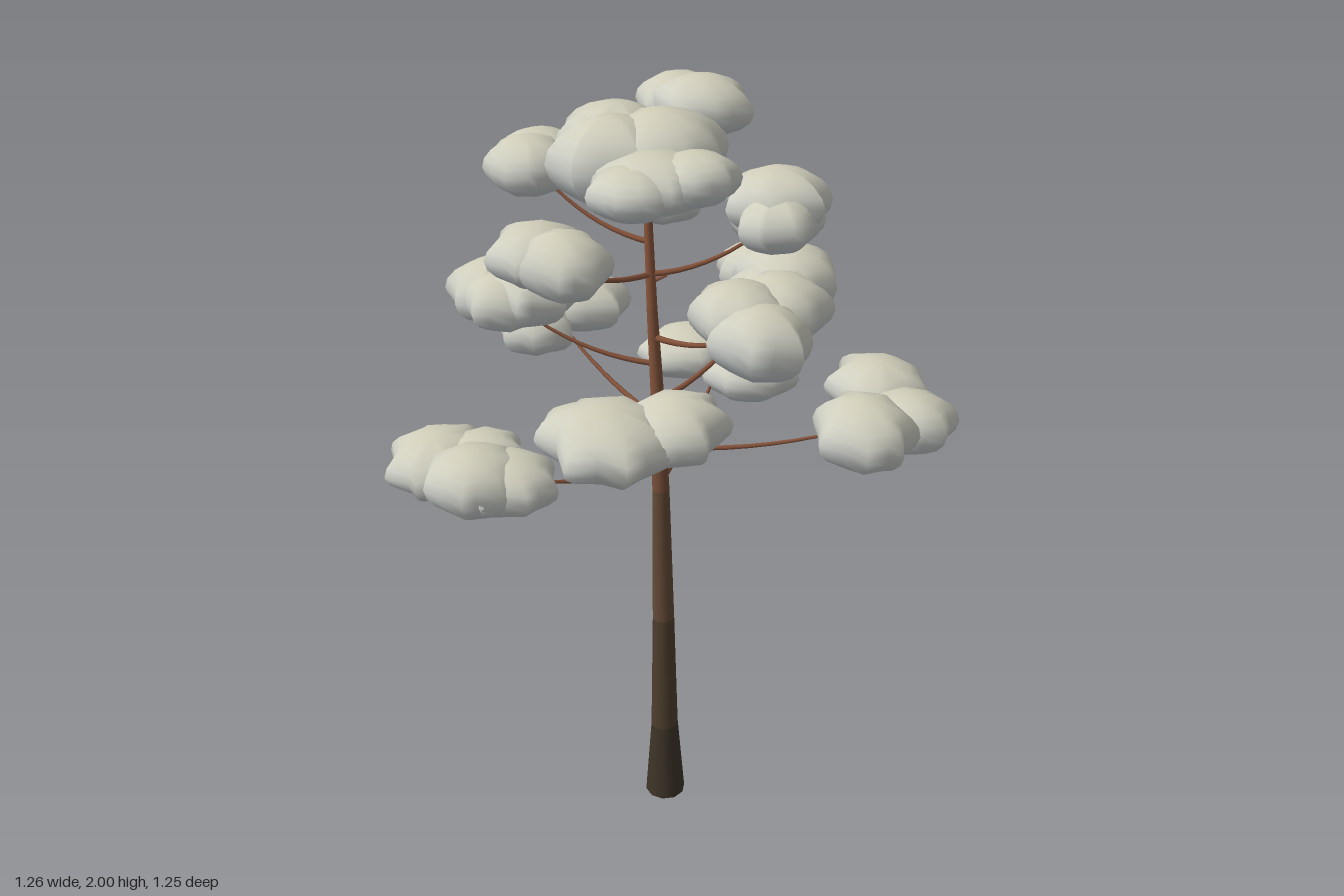
import * as THREE from 'three';

// Each pad: branch start height, then leaf clumps [x, y, z, radius, half height]
const lowerPads = [
  [1.06, [-0.26, 1.17, 0.48, 0.12, 0.075], [-0.10, 1.19, 0.50, 0.12, 0.08], [-0.05, 1.18, 0.44, 0.11, 0.07], [-0.18, 1.18, 0.42, 0.11, 0.065]],
  [1.02, [-0.30, 1.14, -0.43, 0.12, 0.07], [-0.23, 1.16, -0.52, 0.10, 0.075], [-0.12, 1.11, -0.48, 0.12, 0.07]],
  [1.12, [0.35, 1.25, -0.43, 0.12, 0.075], [0.49, 1.27, -0.19, 0.12, 0.085], [0.51, 1.25, -0.34, 0.11, 0.075]],
  [1.20, [-0.42, 1.34, -0.15, 0.12, 0.075], [-0.50, 1.32, -0.09, 0.11, 0.08], [-0.45, 1.31, -0.01, 0.11, 0.075]],
  [1.24, [0.22, 1.37, 0.38, 0.14, 0.08], [0.30, 1.38, 0.25, 0.11, 0.075], [0.16, 1.37, 0.40, 0.10, 0.065]],
];
const middlePads = [
  [1.25, [0.05, 1.46, -0.43, 0.13, 0.085], [0.07, 1.44, -0.37, 0.12, 0.07], [-0.06, 1.45, -0.44, 0.10, 0.075]],
  [1.42, [0.32, 1.57, -0.07, 0.11, 0.08], [0.38, 1.55, 0.06, 0.11, 0.085], [0.29, 1.58, 0.04, 0.11, 0.075]],
  [1.35, [-0.35, 1.50, 0.20, 0.11, 0.08], [-0.26, 1.51, 0.18, 0.11, 0.075], [-0.29, 1.50, 0.23, 0.10, 0.07]],
  [1.48, [-0.35, 1.64, -0.26, 0.11, 0.065], [-0.24, 1.65, -0.25, 0.11, 0.065], [-0.31, 1.61, -0.30, 0.10, 0.06]],
  [1.58, [-0.09, 1.69, 0.29, 0.11, 0.07], [0.02, 1.70, 0.31, 0.10, 0.075]],
  [1.58, [0.16, 1.74, -0.24, 0.12, 0.08], [0.20, 1.71, -0.19, 0.10, 0.07]],
];
const upperPads = [
  [1.66, [-0.32, 1.80, 0.06, 0.11, 0.075], [-0.29, 1.81, 0.13, 0.10, 0.07]],
  [1.74, [0.13, 1.87, 0.13, 0.12, 0.065], [0.19, 1.88, 0.08, 0.10, 0.06], [0.12, 1.86, 0.20, 0.10, 0.06]],
  [1.76, [-0.05, 1.93, -0.21, 0.11, 0.07], [-0.14, 1.92, -0.22, 0.10, 0.065]],
  [1.74, [-0.13, 1.87, 0.00, 0.13, 0.095], [0.01, 1.87, -0.01, 0.14, 0.105], [-0.06, 1.86, 0.08, 0.13, 0.105]],
];

// Trunk centreline sections [x, y, z, radius]
const trunkSections = [
  [0.01, 0, -0.02, 0.055], [0.012, 0.24, -0.015, 0.037], [0.012, 0.6, -0.01, 0.029],
  [0.012, 1.0, 0, 0.022], [0.005, 1.25, 0.004, 0.017], [-0.01, 1.5, 0.008, 0.013], [-0.025, 1.82, 0.01, 0.009],
];

const material = (color) => new THREE.MeshStandardMaterial({ color });
const branchMaterial = material(0x84523a);
const barkColors = [0x3e3528, 0x4e3f2e, 0x644a37, 0x774f39, 0x83543b, 0x8a563c];
// Foliage turns from warm on top to cool grey underneath, one material per ring
const leafRings = 10;
const leafMaterials = Array.from({ length: leafRings }, (_, i) =>
  material(new THREE.Color(0xd0cdb8).lerp(new THREE.Color(0xccd8e6), (i / (leafRings - 1)) ** 1.5)));

// Seeded values in 0..1
let seed = 7;
const random = () => (seed = (seed * 16807) % 2147483647) / 2147483647;

function trunkPoint(y) {
  let i = 0;
  while (i < trunkSections.length - 2 && trunkSections[i + 1][1] < y) i++;
  const a = new THREE.Vector3(...trunkSections[i]);
  const b = new THREE.Vector3(...trunkSections[i + 1]);
  return a.lerp(b, (y - a.y) / (b.y - a.y));
}

// Rounded clump whose rim is drawn out into uneven points
function leafClump([x, y, z, radius, height]) {
  const columns = 14;
  const geometry = new THREE.SphereGeometry(1, columns, leafRings);
  const reach = [], angle = [];
  for (let c = 0; c < columns; c++) {
    reach.push(c % 2 ? 0.84 + random() * 0.12 : 1.02 + random() * 0.18);
    angle.push(((c + (random() - 0.5) * 0.7) / columns) * Math.PI * 2);
  }
  const p = geometry.attributes.position;
  for (let i = 0; i < p.count; i++) {
    const c = (i % (columns + 1)) % columns;
    const ring = Math.sqrt(Math.max(0, 1 - p.getY(i) ** 2));
    const r = ring * radius * (1 + (reach[c] - 1) * ring ** 2);
    p.setXYZ(i, -Math.cos(angle[c]) * r, p.getY(i) * height, Math.sin(angle[c]) * r);
  }
  geometry.computeVertexNormals();
  // Match the normals along the seam and at the poles
  const n = geometry.attributes.normal;
  for (let row = 0; row <= leafRings; row++) {
    const a = row * (columns + 1), b = a + columns;
    const v = new THREE.Vector3().fromBufferAttribute(n, a)
      .add(new THREE.Vector3().fromBufferAttribute(n, b)).normalize();
    n.setXYZ(a, v.x, v.y, v.z);
    n.setXYZ(b, v.x, v.y, v.z);
  }
  for (let c = 0; c <= columns; c++) {
    n.setXYZ(c, 0, 1, 0);
    n.setXYZ(n.count - 1 - c, 0, -1, 0);
  }
  // The two polar rings hold half as many triangles as the others
  let first = 0;
  for (let row = 0; row < leafRings; row++) {
    const count = columns * (row === 0 || row === leafRings - 1 ? 3 : 6);
    geometry.addGroup(first, count, row);
    first += count;
  }
  const mesh = new THREE.Mesh(geometry, leafMaterials);
  mesh.name = 'leafClump';
  mesh.position.set(x, y, z);
  mesh.rotation.set((random() - 0.5) * 0.2, random() * Math.PI * 2, (random() - 0.5) * 0.2);
  return mesh;
}

// Tapered limb along a curve
function limb(curve, r0, r1, name) {
  const steps = 10, sides = 6;
  const geometry = new THREE.TubeGeometry(curve, steps, 1, sides);
  const p = geometry.attributes.position;
  const v = new THREE.Vector3();
  for (let i = 0; i < p.count; i++) {
    const t = Math.floor(i / (sides + 1)) / steps;
    const centre = curve.getPointAt(t);
    v.fromBufferAttribute(p, i).sub(centre).multiplyScalar(r0 + (r1 - r0) * t).add(centre);
    p.setXYZ(i, v.x, v.y, v.z);
  }
  const mesh = new THREE.Mesh(geometry, branchMaterial);
  mesh.name = name;
  return mesh;
}

function trunk() {
  const group = new THREE.Group();
  group.name = 'trunk';
  for (let i = 0; i < trunkSections.length - 1; i++) {
    const [x0, y0, z0, r0] = trunkSections[i];
    const [x1, y1, z1, r1] = trunkSections[i + 1];
    const geometry = new THREE.CylinderGeometry(r1, r0, y1 - y0, 10, 1, i > 0);
    // Shear so that the sections join
    const p = geometry.attributes.position;
    for (let k = 0; k < p.count; k++) {
      const t = p.getY(k) / (y1 - y0);
      p.setX(k, p.getX(k) + (x1 - x0) * t);
      p.setZ(k, p.getZ(k) + (z1 - z0) * t);
    }
    const mesh = new THREE.Mesh(geometry, material(barkColors[i]));
    mesh.name = 'trunkSection';
    mesh.position.set((x0 + x1) / 2, (y0 + y1) / 2, (z0 + z1) / 2);
    group.add(mesh);
  }
  return group;
}

function bough([startY, ...clumps]) {
  const group = new THREE.Group();
  group.name = 'bough';
  const start = trunkPoint(startY);
  const ends = clumps.map(([x, y, z, , h]) => new THREE.Vector3(x, y - h * 0.2, z));
  const middle = ends.reduce((sum, e) => sum.add(e), new THREE.Vector3()).divideScalar(ends.length);
  // Branch leaves flat, then sweeps upward and forks to each clump
  const bend = start.clone().lerp(middle, 0.55);
  bend.y = start.y + (middle.y - start.y) * 0.05;
  const main = new THREE.QuadraticBezierCurve3(start, bend, middle);
  group.add(limb(main, 0.008, 0.003, 'branch'));
  const fork = main.getPointAt(0.85);
  for (const end of ends) {
    group.add(limb(new THREE.LineCurve3(fork, end), 0.003, 0.002, 'twig'));
  }
  clumps.forEach((c) => group.add(leafClump(c)));
  return group;
}

export function createModel() {
  seed = 7;
  const tree = new THREE.Group();
  tree.name = 'tree';
  tree.add(trunk());
  for (const pad of [...lowerPads, ...middlePads, ...upperPads]) tree.add(bough(pad));
  // Short broken stubs on the bare trunk
  for (const [y, angle] of [[1.04, 2.8], [1.16, 0.6], [1.36, 3.6], [1.56, 5.2]]) {
    const a = trunkPoint(y);
    const b = a.clone().add(new THREE.Vector3(Math.cos(angle) * 0.04, 0.012, Math.sin(angle) * 0.04));
    tree.add(limb(new THREE.LineCurve3(a, b), 0.006, 0.003, 'stub'));
  }
  return tree;
}
